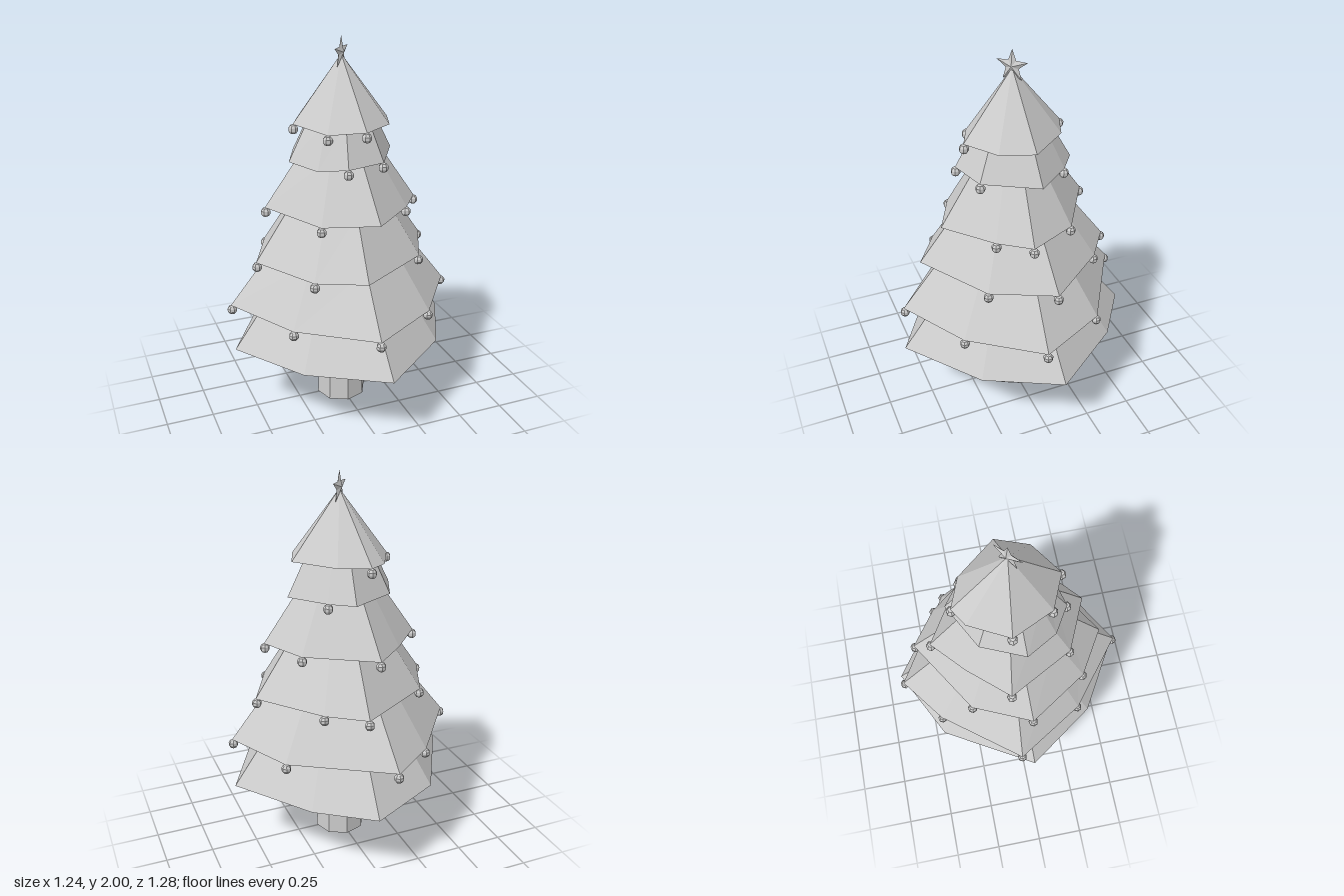
import * as THREE from 'three';

const material = new THREE.MeshStandardMaterial({ color: 0xcccccc, flatShading: true, side: THREE.DoubleSide });

// Each tier: bottom height, top height, height where its slopes meet, ornament corners,
// and the irregular eight-cornered rim as x, z pairs (left, then round by the front)
const TIERS = [
  { y: 0.4, top: 0.65, apex: 1.23, balls: [],
    rim: [0.615, -0.05, 0.42, 0.34, 0.03, 0.64, -0.36, 0.41, -0.615, 0.04, -0.34, -0.44, 0.05, -0.64, 0.33, -0.44] },
  { y: 0.625, top: 0.91, apex: 1.4, balls: [0, 1, 2, 3, 4, 5, 6, 7],
    rim: [0.595, 0.045, 0.335, 0.4, -0.03, 0.615, -0.385, 0.33, -0.61, -0.035, -0.305, -0.435, -0.065, -0.615, 0.42, -0.315] },
  { y: 0.885, top: 1.17, apex: 1.57, balls: [0, 1, 3, 4, 5, 6, 7],
    rim: [0.485, -0.055, 0.335, 0.265, -0.05, 0.5, -0.28, 0.36, -0.485, 0.045, -0.35, -0.26, 0.05, -0.51, 0.235, -0.375] },
  { y: 1.14, top: 1.43, apex: 1.73, balls: [0, 1, 3, 4, 6, 7],
    rim: [0.4, 0.045, 0.285, 0.2, 0.05, 0.405, -0.215, 0.285, -0.4, -0.055, -0.22, -0.26, -0.05, -0.415, 0.285, -0.205] },
  { y: 1.4, top: 1.6, apex: 1.95, balls: [1, 2, 7],
    rim: [0.295, -0.04, 0.14, 0.225, -0.07, 0.28, -0.2, 0.2, -0.295, 0.04, -0.2, -0.18, 0.035, -0.305, 0.15, -0.22] },
  { y: 1.572, top: 1.91, apex: 1.91, balls: [2, 3, 4, 6],
    rim: [0.262, -0.02, 0.2, 0.15, 0.03, 0.265, -0.145, 0.19, -0.25, -0.025, -0.145, -0.225, -0.055, -0.28, 0.1, -0.22] },
];

function addMesh(parent, name, geometry) {
  const mesh = new THREE.Mesh(geometry, material);
  mesh.name = name;
  parent.add(mesh);
  return mesh;
}

// Rim corners; the front right one droops a little on the upper tiers
function rimCorners({ y, rim }, level) {
  return Array.from({ length: 8 }, (_, i) =>
    new THREE.Vector3(rim[2 * i], y - (level > 0 && i === 3 ? 0.015 : 0), rim[2 * i + 1]));
}

// Open skirt: the rim is joined to a smaller copy of itself
function skirtGeometry(corners, { y, top, apex }) {
  const k = (apex - top) / (apex - y);
  const upper = corners.map(c => new THREE.Vector3(c.x * k, top, c.z * k));
  const index = [];
  for (let i = 0; i < 8; i++) {
    const j = (i + 1) % 8;
    index.push(j, i, i + 8);
    if (k > 0) index.push(j, i + 8, j + 8);
  }
  const geometry = new THREE.BufferGeometry().setFromPoints([...corners, ...upper]);
  geometry.setIndex(index);
  geometry.computeVertexNormals();
  return geometry;
}

// Five-pointed double pyramid: a ten-sided ring with every other corner pulled in
function starGeometry(radius, depth) {
  const geometry = new THREE.SphereGeometry(1, 10, 2);
  geometry.rotateX(Math.PI / 2);
  const p = geometry.attributes.position;
  for (let i = 0; i < p.count; i++) {
    const x = p.getX(i), y = p.getY(i);
    if (Math.hypot(x, y) < 0.5) {
      p.setZ(i, Math.sign(p.getZ(i)) * depth);
      continue;
    }
    const step = Math.round(Math.atan2(y, x) / (Math.PI / 5));
    const r = step % 2 === 0 ? radius : radius * 0.42;
    p.setXYZ(i, r * Math.cos(step * Math.PI / 5), r * Math.sin(step * Math.PI / 5), 0);
  }
  geometry.rotateZ(Math.PI / 2);
  geometry.computeVertexNormals();
  return geometry;
}

export function createModel() {
  const tree = new THREE.Group();
  tree.name = 'decoratedTree';

  // Trunk, waisted and flaring under the branches
  const profile = [[0, 0], [0.137, 0], [0.124, 0.26], [0.146, 0.41], [0.146, 0.44], [0, 0.44]];
  addMesh(tree, 'trunk', new THREE.LatheGeometry(profile.map(p => new THREE.Vector2(...p)), 8, -0.07));

  // Branch tiers with ornaments hanging from their corners
  const ornaments = new THREE.Group();
  ornaments.name = 'ornaments';
  const ball = new THREE.SphereGeometry(0.026, 7, 5);
  TIERS.forEach((tier, level) => {
    const corners = rimCorners(tier, level);
    addMesh(tree, `branchTier${level + 1}`, skirtGeometry(corners, tier));
    for (const i of tier.balls) {
      const { x, y, z } = corners[i];
      addMesh(ornaments, 'ornament', ball).position.set(x * 0.99, y - 0.025, z * 0.99);
    }
  });
  tree.add(ornaments);

  // Star on the tip, turned to the front left corner
  const star = addMesh(tree, 'star', starGeometry(0.083, 0.014));
  star.position.y = 1.917;
  star.rotation.y = Math.PI / 4;

  return tree;
}
